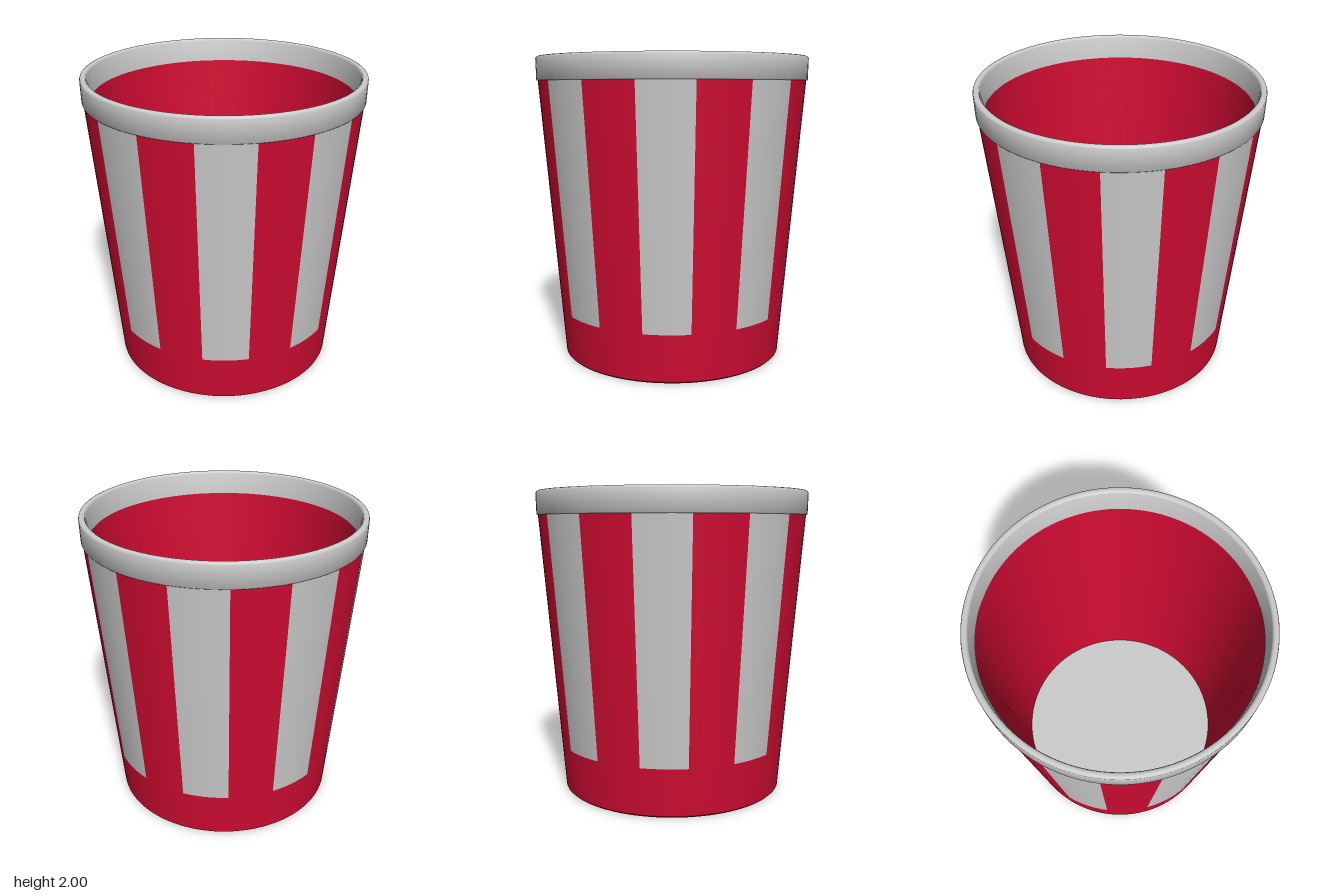
import * as THREE from 'three';
import { toCreasedNormals } from 'three/addons/utils/BufferGeometryUtils.js';

const RED = 0xd00c32;
const GREY = 0xcccccc;
const SEGMENTS = 96;
const STRIPES = 16;

// Outer radius of the tapered wall at a given height
const wallRadius = (y) => 0.738 + 0.0826 * y;

function addMesh(group, name, geometry, color) {
  const mesh = new THREE.Mesh(geometry, new THREE.MeshStandardMaterial({ color }));
  mesh.name = name;
  group.add(mesh);
  return mesh;
}

// Revolve [radius, height] points; running upwards makes the surface face outwards
function revolve(profile, segments = SEGMENTS, start = 0, length = Math.PI * 2) {
  const points = profile.map(([r, y]) => new THREE.Vector2(r, y));
  return new THREE.LatheGeometry(points, segments, start, length);
}

export function createModel() {
  const bucket = new THREE.Group();
  bucket.name = 'stripedBucket';

  // Solid red band around the bottom of the wall
  const stripeBottom = 0.32;
  const stripeTop = 1.85;
  addMesh(bucket, 'lowerBand',
    revolve([[wallRadius(0.012), 0.012], [wallRadius(stripeBottom), stripeBottom]]), RED);

  // Alternating red and grey stripes, flush with the band
  const stripes = new THREE.Group();
  stripes.name = 'stripes';
  bucket.add(stripes);
  const arc = (Math.PI * 2) / STRIPES;
  const stripeProfile = [[wallRadius(stripeBottom), stripeBottom], [wallRadius(stripeTop), stripeTop]];
  for (let i = 0; i < STRIPES; i++) {
    const red = i % 2 === 0;
    addMesh(stripes, red ? 'redStripe' : 'greyStripe',
      revolve(stripeProfile, SEGMENTS / STRIPES, i * arc, arc), red ? RED : GREY);
  }

  // Inner wall
  addMesh(bucket, 'innerWall', revolve([[0.849, 1.85], [0.708, 0.1]]), RED);

  // Foot ring and the recessed underside
  const foot = revolve([
    [0, 0.09], [0.7, 0.09], [0.7, 0.012], [0.708, 0], [0.726, 0], [wallRadius(0.012), 0.012],
  ]);
  addMesh(bucket, 'footRing', toCreasedNormals(foot, 0.5), RED);

  // Floor seen from inside
  const floor = addMesh(bucket, 'floor', new THREE.CircleGeometry(0.71, SEGMENTS), GREY);
  floor.rotation.x = -Math.PI / 2;
  floor.position.y = 0.1;

  // Scalloped disc on the underside
  const outline = [];
  const steps = 160;
  for (let i = 0; i < steps; i++) {
    const a = (i / steps) * Math.PI * 2;
    const r = 0.575 - 0.035 * Math.abs(Math.sin(a * STRIPES / 2));
    outline.push(new THREE.Vector2(r * Math.cos(a), r * Math.sin(a)));
  }
  const disc = addMesh(bucket, 'undersideDisc', new THREE.ShapeGeometry(new THREE.Shape(outline)), GREY);
  disc.rotation.x = Math.PI / 2;
  disc.position.y = 0.086;

  // Rim with softened edges
  const rim = revolve([
    [0.846, 1.845], [0.896, 1.845], [0.9, 1.85], [0.903, 1.985], [0.899, 1.996], [0.89, 2],
    [0.875, 2], [0.866, 1.996], [0.862, 1.985], [0.846, 1.845],
  ]);
  addMesh(bucket, 'rim', toCreasedNormals(rim, 0.9), GREY);

  return bucket;
}
